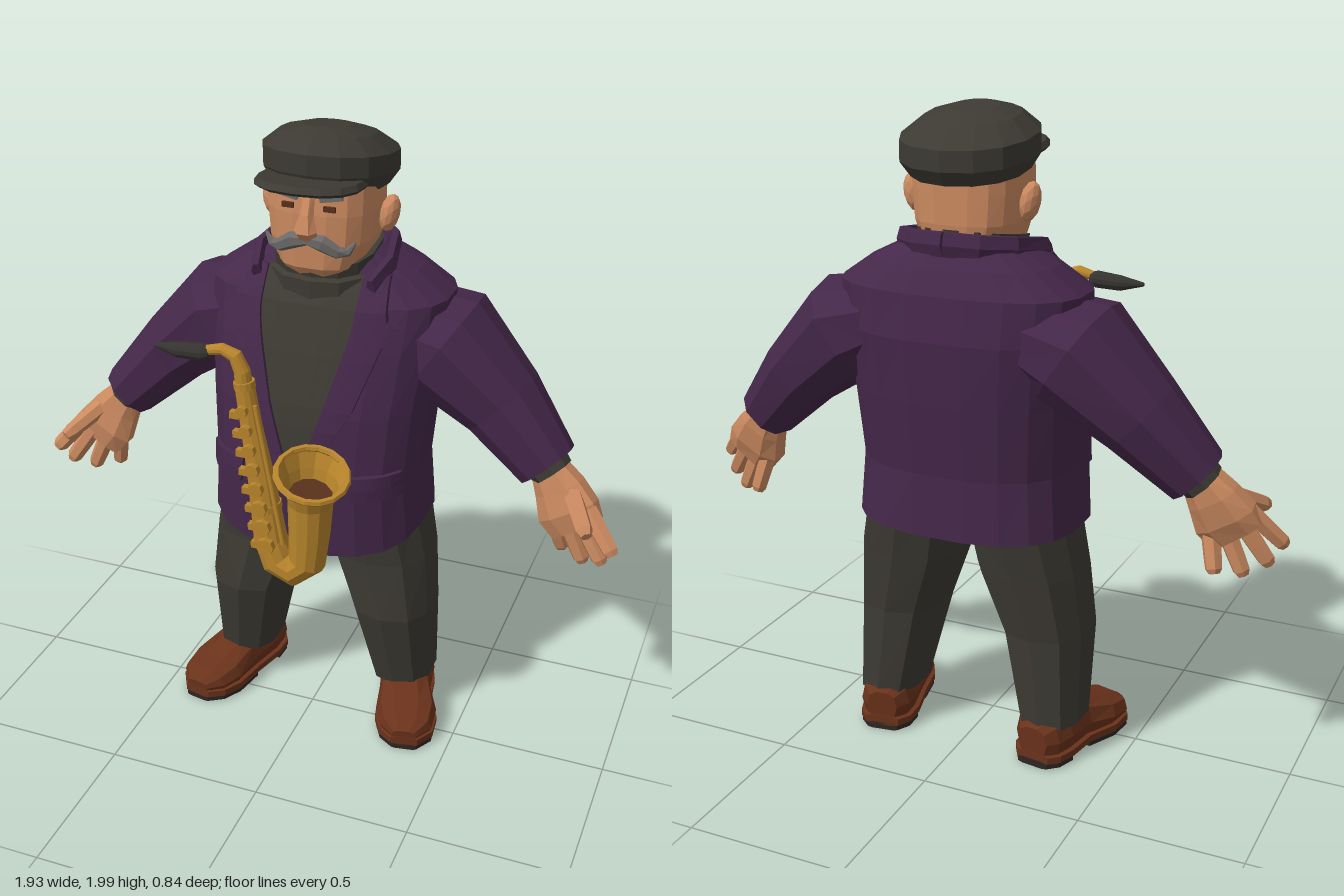
import * as THREE from 'three';

const V = (x, y, z) => new THREE.Vector3(x, y, z);
const mat = (name, color, side = THREE.FrontSide) => {
  const m = new THREE.MeshStandardMaterial({ color, side });
  m.name = name;
  return m;
};

// Faceted geometry from a list of equally long closed rings
function loft(rings, capStart = true, capEnd = true) {
  const pos = [], n = rings[0].length;
  const tri = (...p) => p.forEach(v => pos.push(v.x, v.y, v.z));
  for (let i = 0; i < rings.length - 1; i++) for (let j = 0; j < n; j++) {
    const k = (j + 1) % n, [a, b, c, d] = [rings[i][j], rings[i][k], rings[i + 1][k], rings[i + 1][j]];
    tri(a, b, c); tri(a, c, d);
  }
  const cap = (r, flip) => {
    const m = r.reduce((s, v) => s.add(v), V(0, 0, 0)).divideScalar(n);
    for (let j = 0; j < n; j++) {
      const a = r[j], b = r[(j + 1) % n];
      flip ? tri(m, b, a) : tri(m, a, b);
    }
  };
  if (capStart) cap(rings[0], true);
  if (capEnd) cap(rings[rings.length - 1], false);
  const g = new THREE.BufferGeometry();
  g.setAttribute('position', new THREE.Float32BufferAttribute(pos, 3));
  g.computeVertexNormals();
  return g;
}

const power = (v, n) => Math.sign(v) * Math.abs(v) ** (2 / n);

// Horizontal rounded section; tilt raises it with z
function section([y, cx, hw, zf, zb], { n = 2.5, sides = 14, tilt = 0 } = {}) {
  const zc = (zf + zb) / 2, hd = (zf - zb) / 2;
  return Array.from({ length: sides }, (_, j) => {
    const a = ((j + 0.5) / sides) * Math.PI * 2;
    const dz = -power(Math.sin(a), n) * hd;
    return V(cx + power(Math.cos(a), n) * hw, y + tilt * dz, zc + dz);
  });
}
const stack = (rows, opt) => loft(rows.map(r => section(r, opt)));

// Sweep along rows of [x, y, z, radius along ref, radius across]
function sweep(rows, ref, { n = 2, sides = 8, open = false } = {}) {
  const pts = rows.map(r => V(r[0], r[1], r[2]));
  return loft(rows.map((r, i) => {
    const t = pts[Math.min(i + 1, pts.length - 1)].clone().sub(pts[Math.max(i - 1, 0)]).normalize();
    const e1 = ref.clone().addScaledVector(t, -ref.dot(t)).normalize();
    const e2 = t.clone().cross(e1);
    return Array.from({ length: sides }, (_, j) => {
      const a = ((j + 0.5) / sides) * Math.PI * 2;
      return pts[i].clone().addScaledVector(e1, power(Math.cos(a), n) * r[3])
        .addScaledVector(e2, power(Math.sin(a), n) * (r[4] ?? r[3]));
    });
  }), true, !open);
}

function mirrorX(geo) {
  const g = geo.clone().scale(-1, 1, 1), p = g.attributes.position;
  for (let i = 0; i < p.count; i += 3) {
    const b = V().fromBufferAttribute(p, i + 1), c = V().fromBufferAttribute(p, i + 2);
    p.setXYZ(i + 1, c.x, c.y, c.z);
    p.setXYZ(i + 2, b.x, b.y, b.z);
  }
  g.computeVertexNormals();
  return g;
}

// Jacket body rows: y, centre x, half width, front z, back z
const TORSO = [
  [0.74, 0, 0.35, 0.15, -0.4], [0.95, 0, 0.335, 0.16, -0.39], [1.17, 0, 0.35, 0.135, -0.41],
  [1.36, 0, 0.37, 0.08, -0.42], [1.49, 0, 0.38, 0.03, -0.4], [1.56, 0, 0.28, -0.02, -0.36], [1.62, 0, 0.16, -0.05, -0.31],
];
function frontZ(x, y) {
  let i = 0;
  while (i < TORSO.length - 2 && y > TORSO[i + 1][0]) i++;
  const k = (y - TORSO[i][0]) / (TORSO[i + 1][0] - TORSO[i][0]);
  const [, , hw, zf, zb] = TORSO[i].map((v, j) => v + (TORSO[i + 1][j] - v) * k);
  const u = Math.min(Math.abs(x / hw), 1);
  return (zf + zb) / 2 + (zf - zb) / 2 * (1 - u ** 2.6) ** (1 / 2.6);
}

// Cloth laid over the chest: levels of [y, inner x, outer x], edges folded in
function panel(levels, offset) {
  const rings = [];
  levels.forEach(([y, a, b], i) => {
    const [y2, a2, b2] = levels[i + 1] ?? levels[i], steps = i < levels.length - 1 ? 4 : 1;
    for (let s = 0; s < steps; s++) {
      const k = s / steps, yy = y + (y2 - y) * k, l = a + (a2 - a) * k, r = b + (b2 - b) * k, ring = [];
      for (let j = 0; j <= 6; j++) {
        const x = r + (l - r) * j / 6;
        ring.push(V(x, yy, frontZ(x, yy) + offset));
      }
      // back side of the cloth, sunk into the body
      for (let j = 0; j <= 6; j++) {
        const x = l + (r - l) * j / 6;
        ring.push(V(x, yy, frontZ(x, yy) - 0.02));
      }
      rings.push(ring.reverse());
    }
  });
  return loft(rings);
}

export function createModel() {
  const root = new THREE.Group();
  root.name = 'saxophonist';
  const purple = mat('purple cloth', 0x45284a), charcoal = mat('charcoal cloth', 0x3d3a33);
  const skin = mat('skin', 0xcb8a60), leather = mat('brown leather', 0x6a321b), sole = mat('dark sole', 0x2c2623);
  const brass = mat('brass', 0xb8852c, THREE.DoubleSide), grey = mat('grey hair', 0x6b6a69);
  const ebony = mat('black rubber', 0x35332f), umber = mat('dark brown', 0x58301c);
  const Y = V(0, 1, 0), Z = V(0, 0, 1);
  const add = (name, geo, material, parent = root) => {
    let g = geo;
    if (g.index) { g = g.toNonIndexed(); g.computeVertexNormals(); }
    const m = new THREE.Mesh(g, material);
    m.name = name;
    parent.add(m);
    return m;
  };
  const pair = (name, geo, material) => {
    const g = geo.index ? geo.toNonIndexed() : geo;
    g.computeVertexNormals();
    add(name + 'Left', g, material);
    add(name + 'Right', mirrorX(g), material);
  };

  // Jacket with a hem that dips at the front
  const body = TORSO.map(r => section(r, { n: 2.6, sides: 20 }));
  body[0].forEach(p => { p.y += p.z > 0 ? -0.3 * p.z : 0.02; });
  add('jacketBody', loft(body), purple);
  add('sweaterFront', panel([[0.93, -0.004, 0.004], [1.2, -0.1, 0.1], [1.4, -0.15, 0.15], [1.57, -0.16, 0.16]], 0.008), charcoal);
  pair('lapel', panel([[0.93, 0, 0.02], [1.2, 0.085, 0.17], [1.39, 0.135, 0.235], [1.44, 0.145, 0.28], [1.46, 0.147, 0.24], [1.57, 0.15, 0.22]], 0.02), purple);
  pair('pocketFlap', panel([[0.91, 0.18, 0.315], [0.99, 0.17, 0.305]], 0.018), purple);
  pair('collar', sweep([[0.18, 1.55, 0, 0.03, 0.015], [0.205, 1.585, -0.1, 0.04, 0.02], [0.175, 1.61, -0.24, 0.04, 0.02],
    [0.1, 1.62, -0.31, 0.04, 0.02], [0, 1.625, -0.33, 0.04, 0.02]], Y, { sides: 6 }), purple);

  // Sleeves and cuffs
  pair('sleeve', sweep([[0.24, 1.37, -0.2, 0.18, 0.12], [0.36, 1.33, -0.2, 0.195, 0.165], [0.55, 1.16, -0.19, 0.145, 0.123],
    [0.71, 0.99, -0.155, 0.1, 0.092]], Z, { n: 2.4, sides: 10 }), purple);
  pair('cuff', sweep([[0.69, 1.01, -0.16, 0.075, 0.07], [0.728, 0.968, -0.15, 0.07, 0.065]], Z), charcoal);

  // Hands
  pair('palm', sweep([[0.71, 0.99, -0.15, 0.05, 0.055], [0.755, 0.925, -0.14, 0.055, 0.08], [0.79, 0.86, -0.125, 0.055, 0.1],
    [0.825, 0.81, -0.115, 0.035, 0.09]], Z, { n: 2.6 }), skin);
  const fingers = [[0.88, 0.855, -0.09, 0.95, 0.775, -0.05], [0.85, 0.82, -0.1, 0.915, 0.72, -0.08],
    [0.805, 0.79, -0.12, 0.85, 0.69, -0.12], [0.755, 0.79, -0.14, 0.775, 0.7, -0.165], [0.8, 0.93, -0.11, 0.875, 0.865, 0.015]];
  fingers.forEach(([x, y, z, tx, ty, tz], i) => {
    const at = (k, r) => [x + (tx - x) * k, y + (ty - y) * k, z + (tz - z) * k, r, r];
    pair(i < 4 ? 'finger' + (i + 1) : 'thumb', sweep([at(-0.4, 0.03), at(0.4, 0.028), at(0.85, 0.026), at(1, 0.017)], i < 4 ? Z : Y, { sides: 6 }), skin);
  });

  // Trousers
  pair('trouserLeg', stack([[0.13, 0.28, 0.1, -0.02, -0.28], [0.42, 0.247, 0.135, 0.045, -0.28],
    [0.62, 0.2, 0.165, 0.04, -0.31], [0.8, 0.165, 0.165, 0.06, -0.34]], { sides: 10 }), charcoal);

  // Shoes turned outward: x, y, z, height, width
  const shoe = [[0.263, 0.08, -0.285, 0.05, 0.05], [0.268, 0.082, -0.25, 0.075, 0.08], [0.28, 0.085, -0.19, 0.08, 0.09],
    [0.305, 0.08, -0.08, 0.075, 0.085], [0.34, 0.065, 0.02, 0.055, 0.1], [0.362, 0.055, 0.09, 0.045, 0.085], [0.37, 0.05, 0.135, 0.02, 0.04]];
  const slab = (from, to, y, h, grow) => sweep(shoe.slice(from, to).map(r => [r[0], y, r[2], h, r[4] + grow]), Y, { n: 5 });
  pair('shoeUpper', sweep(shoe, Y, { n: 2.6, sides: 10 }).translate(0, 0.005, 0), leather);
  pair('shoeWelt', slab(0, 7, 0.032, 0.016, 0.006), leather);
  pair('shoeSole', slab(3, 7, 0.01, 0.01, 0.002), sole);
  pair('shoeHeel', slab(0, 3, 0.012, 0.012, 0.002), sole);

  // Turtleneck
  add('turtleneck', stack([[1.45, 0, 0.15, 0, -0.28], [1.5, 0, 0.165, 0.03, -0.29], [1.585, 0, 0.17, 0.03, -0.3],
    [1.59, 0, 0.155, 0.015, -0.285], [1.63, 0, 0.16, 0.02, -0.29]], { tilt: -0.18 }), charcoal);

  // Head
  add('head', stack([[1.55, 0, 0.1, 0.0, -0.26], [1.595, 0, 0.13, 0.03, -0.28], [1.67, 0, 0.157, 0.035, -0.29],
    [1.76, 0, 0.165, 0.035, -0.29], [1.87, 0, 0.165, 0.025, -0.29]], { n: 2.9, sides: 16 }), skin);
  add('nose', sweep([[0, 1.82, 0.03, 0.015, 0.018], [0, 1.765, 0.05, 0.022, 0.022], [0, 1.72, 0.058, 0.03, 0.036],
    [0, 1.695, 0.045, 0.018, 0.028]], Z, { sides: 6 }), skin);
  pair('ear', new THREE.IcosahedronGeometry(1, 1).scale(0.03, 0.06, 0.036).rotateZ(-0.2).translate(0.184, 1.73, -0.15), skin);
  pair('moustache', sweep([[0, 1.692, 0.045, 0.02, 0.018], [0.045, 1.685, 0.045, 0.022, 0.026], [0.09, 1.66, 0.035, 0.018, 0.02],
    [0.118, 1.662, 0.025, 0.012, 0.013], [0.138, 1.69, 0.018, 0.004, 0.004]], Z, { sides: 6 }), grey);
  pair('eyebrow', new THREE.BoxGeometry(0.07, 0.022, 0.009).rotateZ(0.2).translate(0.068, 1.82, 0.033), grey);
  pair('eye', new THREE.BoxGeometry(0.036, 0.016, 0.008).translate(0.064, 1.785, 0.033), umber);

  // Flat cap and visor
  add('capCrown', stack([[1.81, 0, 0.17, 0.03, -0.325], [1.855, 0, 0.2, 0.05, -0.355], [1.915, 0, 0.2, 0.05, -0.355],
    [1.965, 0, 0.14, 0.0, -0.27], [1.985, 0, 0.07, -0.05, -0.2]], { n: 2.2, tilt: 0.13 }), charcoal);
  add('capVisor', stack([[1.84, 0, 0.15, 0.15, -0.15], [1.853, 0, 0.16, 0.17, -0.15], [1.868, 0, 0.15, 0.155, -0.15]], { n: 2.4, tilt: 0.1 }), charcoal);

  // Saxophone
  const sax = new THREE.Group();
  sax.name = 'saxophone';
  root.add(sax);
  const tube = (name, rows, material, open) => add(name, sweep(rows.map(([x, y, r, z = 0.3]) => [x, y, z, r, r]), Z, { sides: 12, open }), material, sax);
  tube('mouthpiece', [[-0.2, 1.412, 0.02], [-0.22, 1.41, 0.027], [-0.3, 1.405, 0.024], [-0.375, 1.408, 0.006]], ebony);
  tube('saxNeck', [[-0.225, 1.415, 0.014], [-0.16, 1.43, 0.018], [-0.12, 1.415, 0.022], [-0.1, 1.37, 0.025], [-0.094, 1.31, 0.027]], brass);
  tube('saxBody', [[-0.094, 1.33, 0.03], [-0.075, 1.2, 0.033], [-0.045, 1.02, 0.042], [-0.02, 0.83, 0.052], [0.005, 0.76, 0.056],
    [0.055, 0.738, 0.057], [0.097, 0.775, 0.058], [0.105, 0.88, 0.063], [0.108, 0.98, 0.068], [0.111, 1.04, 0.082, 0.303], [0.118, 1.08, 0.108, 0.312]], brass, true);
  const tilt = new THREE.Quaternion().setFromUnitVectors(Z, V(0.2, 0.9, 0.28).normalize());
  add('bellRim', new THREE.TorusGeometry(0.105, 0.011, 6, 16).applyQuaternion(tilt).translate(0.118, 1.08, 0.312), brass, sax);
  add('bellThroat', new THREE.CircleGeometry(0.068, 12).applyQuaternion(tilt).translate(0.109, 1.0, 0.301), umber, sax);
  [[-0.094, 1.33, 0.032], [-0.035, 0.94, 0.05]].forEach(([x, y, r]) =>
    add('saxBand', new THREE.CylinderGeometry(r, r, 0.022, 12).rotateZ(0.14).translate(x, y, 0.3), brass, sax));
  for (let i = 0; i < 8; i++) {
    const k = i / 7, x = -0.088 + k * 0.074, y = 1.26 - k * 0.43, r = 0.018 + k * 0.01;
    add('saxKey', new THREE.CylinderGeometry(r, r, 0.02, 8).rotateX(Math.PI / 2).translate(x, y, 0.338 + k * 0.016), brass, sax);
    add('sideKey', new THREE.BoxGeometry(0.03, 0.022, 0.022).translate(x - 0.035 - k * 0.015, y - 0.03, 0.305), brass, sax);
  }
  tube('keyRod', [[-0.052, 1.28, 0.007, 0.325], [0.036, 0.84, 0.007, 0.34]], brass);
  return root;
}
